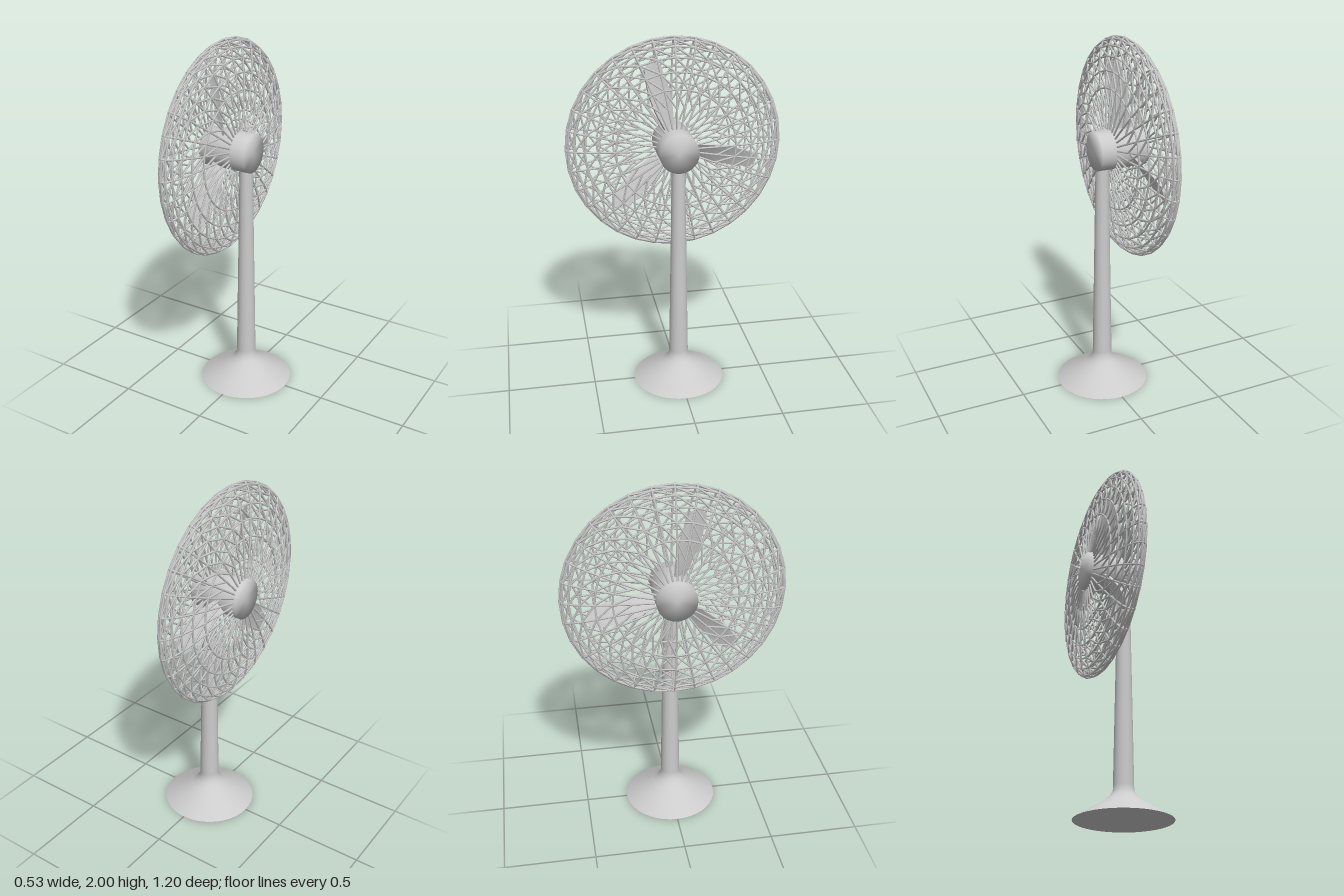
import * as THREE from 'three';
import { mergeGeometries, mergeVertices } from 'three/addons/utils/BufferGeometryUtils.js';

const AXIS_Y = 1.4, CAGE_X = -0.13;
const grey = new THREE.MeshStandardMaterial({ color: 0xcccccc, side: THREE.DoubleSide });
const flatGrey = new THREE.MeshStandardMaterial({ color: 0xcccccc, side: THREE.DoubleSide, flatShading: true });

function add(parent, name, geometry, material = grey) {
  const mesh = new THREE.Mesh(geometry, material);
  mesh.name = name;
  parent.add(mesh);
  return mesh;
}

// Share corner vertices so shading runs smoothly over the edges
function smooth(geometry) {
  geometry.deleteAttribute('normal');
  geometry.deleteAttribute('uv');
  const merged = mergeVertices(geometry);
  merged.computeVertexNormals();
  return merged;
}

// Thin straight wire between two points
function wire(a, b, radius = 0.0055) {
  const dir = b.clone().sub(a);
  const g = new THREE.CylinderGeometry(radius, radius, dir.length(), 5, 1, true);
  g.applyQuaternion(new THREE.Quaternion().setFromUnitVectors(new THREE.Vector3(0, 1, 0), dir.normalize()));
  const mid = a.clone().add(b).multiplyScalar(0.5);
  return g.translate(mid.x, mid.y, mid.z);
}

// Triangulated lattice of one half of the flattened ellipsoid cage
function cageHalf(side) {
  const R = 0.595, depth = 0.094, around = 32, rows = 8;
  const node = (k, j) => {
    const lat = (k / rows) * Math.PI / 2;
    const a = (j / around) * Math.PI * 2;
    const r = R * Math.sin(lat);
    return new THREE.Vector3(side * depth * Math.cos(lat), r * Math.cos(a), r * Math.sin(a));
  };
  const wires = [];
  for (let k = 1; k <= rows; k++) {
    for (let j = 0; j < around; j++) {
      // meridians run from the hub to the rim
      if (k > 1) wires.push(wire(node(k - 1, j), node(k, j)));
      // rings and diagonals start outside the plain spokes; the rim is shared
      if (k > 2 && (k < rows || side > 0)) wires.push(wire(node(k, j), node(k, j + 1)));
      if (k > 2) wires.push(wire(node(k - 1, j), node(k, j + side)));
    }
  }
  return mergeGeometries(wires);
}

// Twisted, tapered blade pointing up from the axis
function bladeGeometry() {
  const g = new THREE.BoxGeometry(0.012, 1, 1, 1, 8, 3);
  const p = g.attributes.position;
  for (let i = 0; i < p.count; i++) {
    const t = p.getY(i) + 0.5;
    const width = 0.055 + 0.075 * Math.sin(Math.PI * Math.min(1, t * 0.85));
    const pitch = 0.65 - 0.35 * t;
    const z = p.getZ(i) * width, x = p.getX(i);
    p.setXYZ(i,
      x * Math.cos(pitch) + z * Math.sin(pitch),
      0.07 + 0.41 * t - 0.5 * Math.abs(z) * t,
      z * Math.cos(pitch) - x * Math.sin(pitch));
  }
  g.computeVertexNormals();
  return g;
}

export function createModel() {
  const model = new THREE.Group();
  model.name = 'pedestalFan';

  // Flared base and tapering pole in one turned profile; the doubled point keeps the foot edge sharp
  const profile = [[0, 0], [0.263, 0], [0.263, 0], [0.18, 0.051], [0.1, 0.1], [0.075, 0.124],
    [0.056, 0.15], [0.055, 0.18], [0.036, 1.32]]
    .map(([r, y]) => new THREE.Vector2(r, y));
  add(model, 'stand', new THREE.LatheGeometry(profile, 40));

  // Fan head, turned about the x axis
  const head = new THREE.Group();
  head.name = 'fanHead';
  head.position.set(CAGE_X, AXIS_Y, 0);
  model.add(head);

  // Motor drum running through the middle of the cage
  const drum = new THREE.CylinderGeometry(0.108, 0.108, 0.28, 40).rotateZ(Math.PI / 2);
  add(head, 'motorHousing', smooth(drum)).position.x = 0.035;

  // Wire cage
  add(head, 'cageRear', cageHalf(1));
  add(head, 'cageFront', cageHalf(-1));

  // Three blades
  const blade = bladeGeometry();
  for (let i = 0; i < 3; i++) {
    add(head, 'blade', blade, flatGrey).rotation.x = 0.27 + (i * Math.PI * 2) / 3;
  }
  return model;
}
